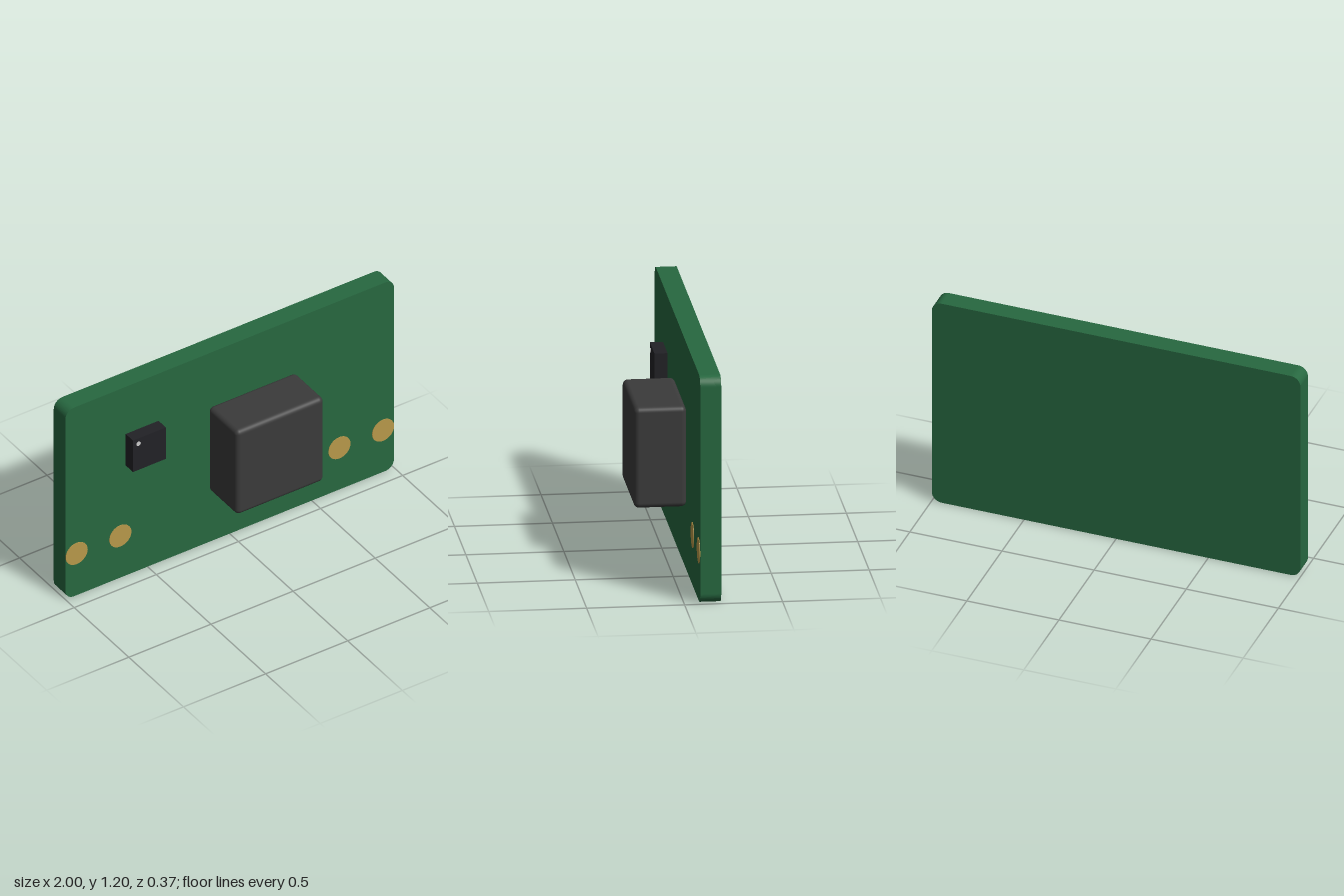
import * as THREE from 'three';
import { RoundedBoxGeometry } from 'three/addons/geometries/RoundedBoxGeometry.js';

const BACK = -0.187, FACE = -0.08; // back and front faces of the board

function add(group, name, geometry, color, x, y, z) {
  const mesh = new THREE.Mesh(geometry, new THREE.MeshStandardMaterial({ color }));
  mesh.name = name;
  mesh.position.set(x, y, z);
  group.add(mesh);
  return mesh;
}

function roundedRect(w, h, r) {
  const s = new THREE.Shape();
  const x = w / 2 - r, y = h / 2 - r;
  s.absarc(x, y, r, 0, Math.PI / 2);
  s.absarc(-x, y, r, Math.PI / 2, Math.PI);
  s.absarc(-x, -y, r, Math.PI, Math.PI * 1.5);
  s.absarc(x, -y, r, Math.PI * 1.5, Math.PI * 2);
  s.closePath();
  return s;
}

// Short cylinder whose axis points forward
function disc(radius, depth) {
  return new THREE.CylinderGeometry(radius, radius, depth, 32).rotateX(Math.PI / 2);
}

export function createModel() {
  const model = new THREE.Group();
  model.name = 'circuitBoard';

  // Board with rounded corners
  const board = new THREE.ExtrudeGeometry(roundedRect(2, 1.2, 0.053), {
    depth: FACE - BACK, bevelEnabled: false, curveSegments: 8,
  });
  add(model, 'board', board, 0x276840, 0, 0.6, BACK);

  // Large component with softened edges
  add(model, 'mainBlock', new RoundedBoxGeometry(0.533, 0.533, 0.267, 4, 0.027),
    0x3b3b3b, 0.133, 0.6, FACE + 0.1335);

  // Small chip and its orientation dot
  add(model, 'chip', new THREE.BoxGeometry(0.2, 0.2, 0.067), 0x222226, -0.533, 0.8, FACE + 0.0335);
  add(model, 'chipDot', disc(0.013, 0.004), 0xd0d0d0, -0.6, 0.867, FACE + 0.067);

  // Contact pads, mirrored left and right
  for (const side of [-1, 1]) {
    for (const x of [0.667, 0.933]) {
      add(model, 'contactPad', disc(0.067, 0.006), 0xb8994a, side * x, 0.267, FACE);
    }
  }
  return model;
}
